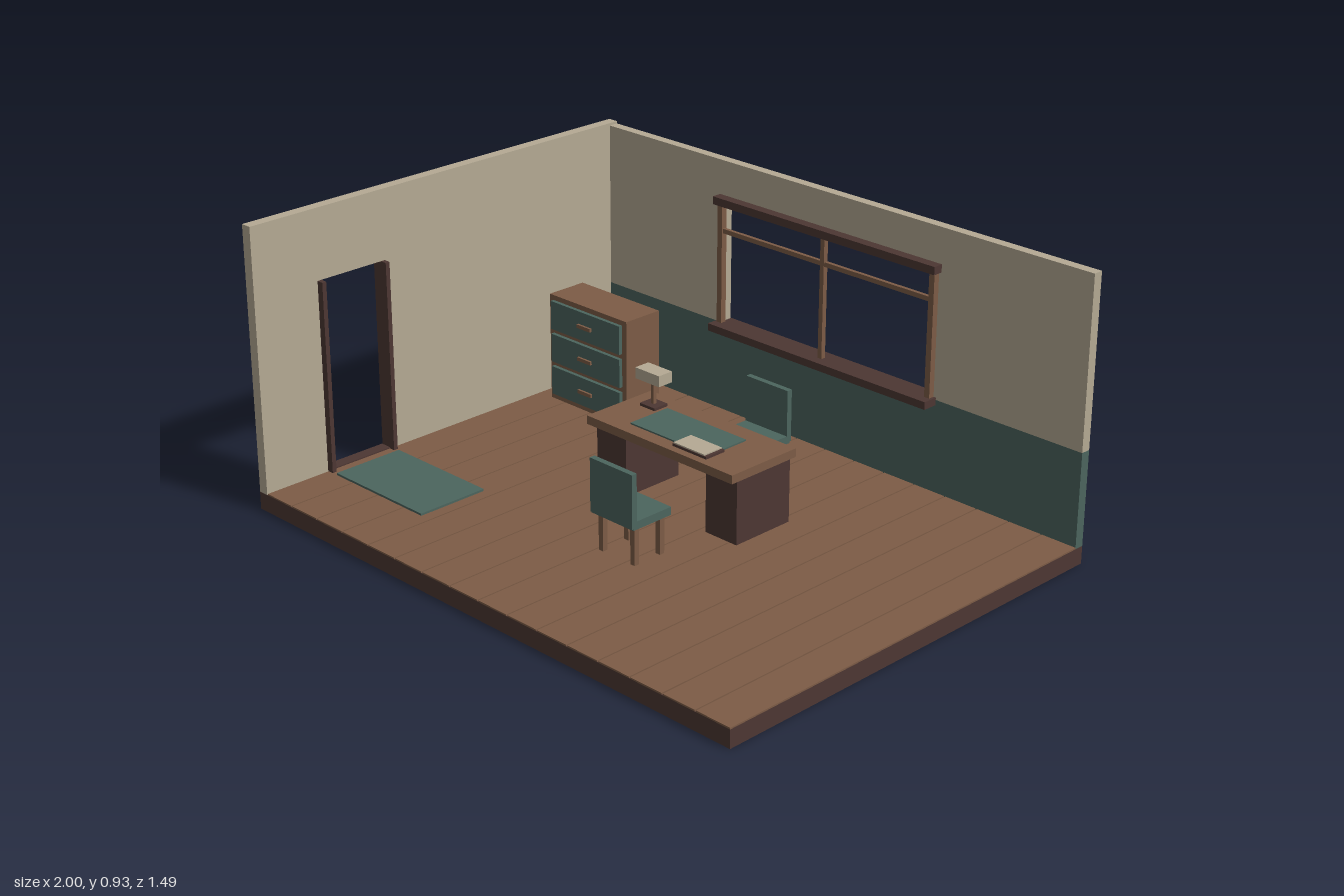
import * as THREE from 'three';

const material = (name, color) => {
  const m = new THREE.MeshStandardMaterial({ color });
  m.name = name;
  return m;
};

export function createModel() {
  const wood = material('wood brown', 0x7d5c46);
  const dark = material('dark wood', 0x4d3733);
  const green = material('muted green', 0x4c655e);
  const cream = material('cream', 0xb5aa94);

  const room = new THREE.Group();
  room.name = 'officeRoom';

  // Box given by its extents on each axis
  const box = (parent, name, mat, [x0, x1], [y0, y1], [z0, z1]) => {
    const mesh = new THREE.Mesh(new THREE.BoxGeometry(x1 - x0, y1 - y0, z1 - z0), mat);
    mesh.position.set((x0 + x1) / 2, (y0 + y1) / 2, (z0 + z1) / 2);
    mesh.name = name;
    parent.add(mesh);
    return mesh;
  };
  const group = (name, x = 0, y = 0, z = 0) => {
    const g = new THREE.Group();
    g.name = name;
    g.position.set(x, y, z);
    room.add(g);
    return g;
  };

  // Floor slab with planks running front to back
  const floor = group('floor');
  const top = 0.063;
  box(floor, 'floorSlab', dark, [-1, 1], [0, 0.058], [-0.745, 0.745]);
  const planks = 16, step = 1.96 / planks, seam = 0.005;
  for (let i = 0; i < planks; i++) {
    const x = -0.96 + i * step;
    box(floor, 'plank', wood, [x, x + step - (i < planks - 1 ? seam : 0)], [0.058, top], [-0.712, 0.745]);
  }

  // Side wall with a doorway cut through it
  const wall = new THREE.Shape();
  wall.moveTo(-0.745, 0.058);
  wall.lineTo(0.25, 0.058);
  wall.lineTo(0.25, 0.695);
  wall.lineTo(0.51, 0.695);
  wall.lineTo(0.51, 0.058);
  wall.lineTo(0.745, 0.058);
  wall.lineTo(0.745, 0.926);
  wall.lineTo(-0.745, 0.926);
  const sideWall = new THREE.Mesh(new THREE.ExtrudeGeometry(wall, { depth: 0.036, bevelEnabled: false }), cream);
  sideWall.rotation.y = -Math.PI / 2; // shape x becomes z, depth runs toward -x
  sideWall.position.x = -0.963;
  sideWall.name = 'sideWall';
  room.add(sideWall);

  // Door posts, threshold and mat
  const door = group('doorway');
  for (const z of [0.25, 0.495]) box(door, 'doorPost', dark, [-0.998, -0.94], [0.058, 0.695], [z, z + 0.015]);
  box(door, 'threshold', dark, [-1, -0.96], [0.058, 0.067], [0.25, 0.51]);
  box(room, 'doorMat', green, [-0.92, -0.512], [top, 0.07], [0.262, 0.51]);

  // Back wall: green below, cream above, around the window opening
  const back = group('backWall');
  const wz = [-0.745, -0.712];
  box(back, 'lowerWall', green, [-0.999, 1], [0.058, 0.367], wz);
  for (const s of [[-0.999, -0.435], [0.435, 1]]) box(back, 'upperWall', cream, s, [0.367, 0.918], wz);
  box(back, 'wallOverWindow', cream, [-0.435, 0.435], [0.785, 0.918], wz);

  // Window frame
  const win = group('window');
  box(win, 'windowHead', dark, [-0.455, 0.455], [0.777, 0.803], [-0.712, -0.678]);
  box(win, 'windowSill', dark, [-0.455, 0.455], [0.35, 0.375], [-0.748, -0.66]);
  for (const x of [-0.436, 0.436]) box(win, 'windowPost', wood, [x - 0.01, x + 0.01], [0.375, 0.777], [-0.712, -0.691]);
  box(win, 'mullion', wood, [-0.008, 0.008], [0.375, 0.777], [-0.71, -0.693]);
  box(win, 'transom', wood, [-0.426, 0.426], [0.682, 0.697], [-0.708, -0.695]);

  // Chest of three drawers
  const chest = group('drawerChest');
  box(chest, 'chestBody', wood, [-0.905, -0.546], [top, 0.43], [-0.527, -0.381]);
  for (const y of [0.134, 0.249, 0.364]) {
    box(chest, 'drawerFront', green, [-0.888, -0.566], [y - 0.049, y + 0.049], [-0.381, -0.368]);
    box(chest, 'drawerHandle', wood, [-0.757, -0.695], [y - 0.006, y + 0.006], [-0.368, -0.36]);
  }

  // Desk
  const desk = group('desk');
  box(desk, 'deskTop', wood, [-0.305, 0.305], [0.277, 0.305], [-0.254, 0.018]);
  for (const x of [-0.232, 0.232]) box(desk, 'pedestal', dark, [x - 0.063, x + 0.063], [0.066, 0.277], [-0.24, -0.014]);
  box(desk, 'deskPad', green, [-0.165, 0.165], [0.305, 0.31], [-0.187, 0.025 - 0.055]);

  // Book with a pale page block on top
  box(desk, 'bookCover', dark, [0.036, 0.175], [0.305, 0.313], [-0.086, -0.008]);
  box(desk, 'bookPages', cream, [0.038, 0.165], [0.313, 0.317], [-0.084, -0.01]);

  // Lamp
  const lamp = group('deskLamp', -0.215, 0, -0.177);
  box(lamp, 'lampBase', dark, [-0.032, 0.032], [0.305, 0.314], [-0.028, 0.028]);
  box(lamp, 'lampStem', wood, [-0.006, 0.006], [0.314, 0.392], [-0.006, 0.006]);
  box(lamp, 'lampShade', cream, [-0.051, 0.051], [0.39, 0.426], [-0.028, 0.028]);

  // Two chairs facing the desk from opposite sides
  const chair = (x, z, turn) => {
    const c = group('chair', x, 0, z);
    c.rotation.y = turn;
    box(c, 'seat', green, [-0.087, 0.087], [0.185, 0.211], [-0.076, 0.076]);
    box(c, 'backrest', green, [-0.087, 0.087], [0.19, 0.362], [0.062, 0.081]);
    for (const lx of [-0.066, 0.066])
      for (const lz of [-0.051, 0.051])
        box(c, 'leg', wood, [lx - 0.009, lx + 0.009], [top, 0.185], [lz - 0.009, lz + 0.009]);
  };
  chair(0.102, 0.226, 0);
  chair(0, -0.391, Math.PI);

  return room;
}
